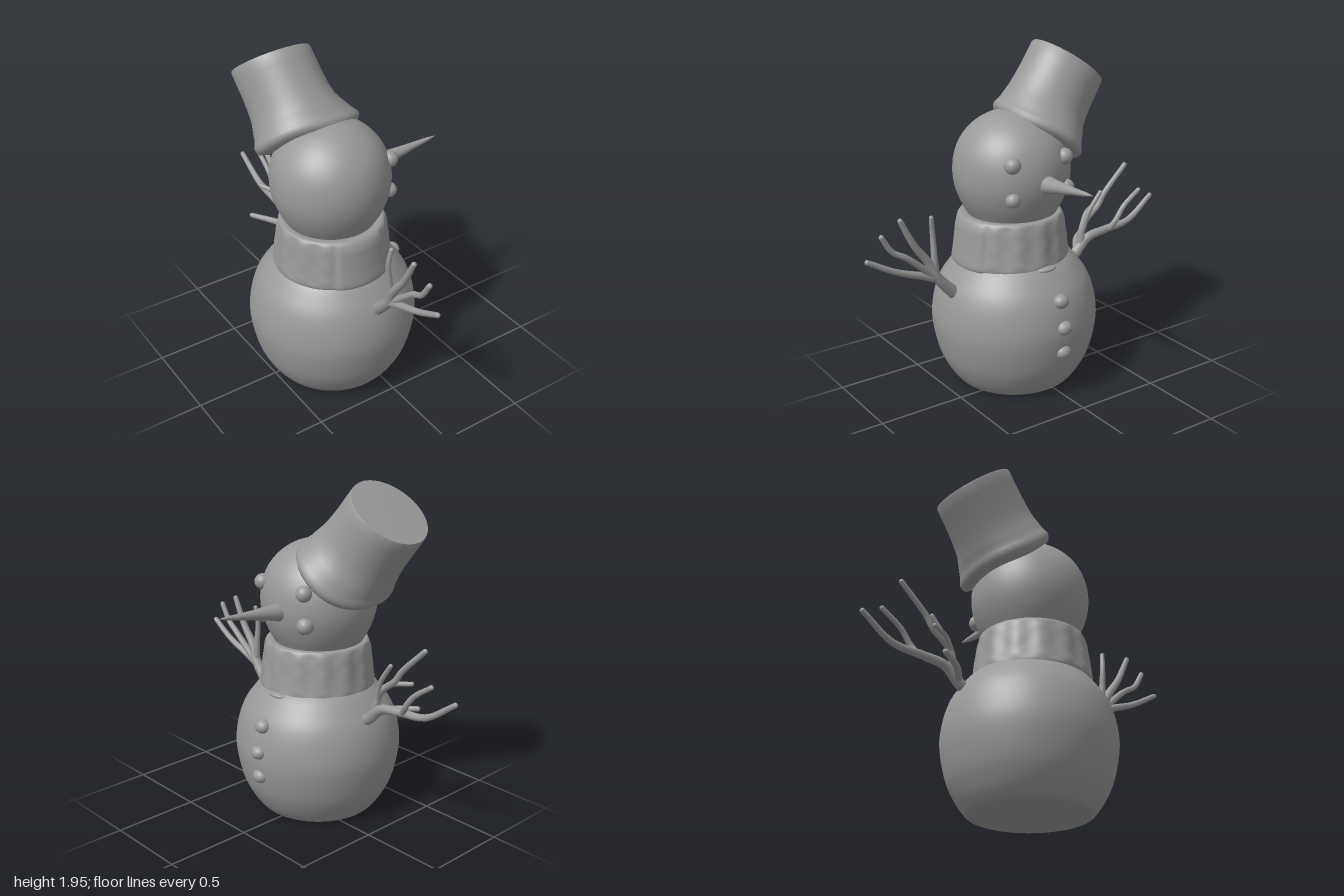
import * as THREE from 'three';
import { toCreasedNormals } from 'three/addons/utils/BufferGeometryUtils.js';

const mat = new THREE.MeshStandardMaterial({ color: 0x999999 });
const V = (x, y, z) => new THREE.Vector3(x, y, z);

function add(parent, name, geo, x = 0, y = 0, z = 0) {
  const mesh = new THREE.Mesh(geo, mat);
  mesh.name = name;
  mesh.position.set(x, y, z);
  parent.add(mesh);
  return mesh;
}

// Profile of [radius, height] pairs smoothed and turned round the y axis
function turned(points, steps = 40, segments = 72) {
  const curve = new THREE.SplineCurve(points.map(p => new THREE.Vector2(...p)));
  const pts = curve.getPoints(steps).map(p => p.set(Math.max(p.x, 0), p.y));
  return new THREE.LatheGeometry(pts, segments);
}

// Moves every vertex by a rule
function bend(geo, rule) {
  const p = geo.attributes.position, v = V(0, 0, 0);
  for (let i = 0; i < p.count; i++) {
    rule(v.fromBufferAttribute(p, i));
    p.setXYZ(i, v.x, v.y, v.z);
  }
  geo.computeVertexNormals();
  return geo;
}

// Tapered twig with a round tip, through points [x, y, z]
function twig(parent, points, r0, r1) {
  const curve = new THREE.CatmullRomCurve3(points.map(p => V(...p)));
  const n = 24, sides = 10;
  const geo = new THREE.TubeGeometry(curve, n, r0, sides);
  const p = geo.attributes.position, v = V(0, 0, 0);
  for (let i = 0; i <= n; i++) {
    const c = curve.getPointAt(i / n), s = 1 + (r1 / r0 - 1) * Math.sqrt(i / n);
    for (let j = 0; j <= sides; j++) {
      const k = i * (sides + 1) + j;
      v.fromBufferAttribute(p, k).sub(c).multiplyScalar(s).add(c);
      p.setXYZ(k, v.x, v.y, v.z);
    }
  }
  add(parent, 'twig', geo);
  add(parent, 'twigTip', new THREE.SphereGeometry(r1, 10, 8), ...points[points.length - 1]);
}

export function createModel() {
  const group = new THREE.Group();

  // Body: round, with a flat base
  add(group, 'body', turned([[0.33, 0.005], [0.35, 0.02], [0.4, 0.09], [0.45, 0.2], [0.483, 0.37], [0.473, 0.5],
    [0.44, 0.61], [0.39, 0.69], [0.33, 0.76], [0.22, 0.84]]), -0.12, 0, 0.045);
  const base = add(group, 'base', new THREE.CircleGeometry(0.33, 72), -0.12, 0.005, 0.045);
  base.rotation.x = Math.PI / 2;

  // Head: a ball with a slightly full jaw
  add(group, 'head', turned([[0.22, 0.96], [0.256, 1.02], [0.298, 1.1], [0.327, 1.19], [0.334, 1.28],
    [0.32, 1.37], [0.285, 1.45], [0.226, 1.52], [0.15, 1.572], [0.07, 1.598], [0, 1.604]], 48), -0.13, 0, 0.05);

  // Scarf: tapered band with shallow ribs and a raised panel on the left side
  const scarf = turned([[0.28, 0.755], [0.315, 0.742], [0.334, 0.76], [0.324, 0.84], [0.314, 0.92],
    [0.306, 0.98], [0.292, 1.02], [0.26, 1.024], [0.21, 1.01]], 48, 160);
  bend(scarf, v => {
    const a = Math.atan2(v.z, v.x), r = Math.hypot(v.x, v.z);
    const band = THREE.MathUtils.smoothstep(r, 0.29, 0.31);
    const rows = THREE.MathUtils.smoothstep(v.y, 0.76, 0.8);
    const panel = 1 - THREE.MathUtils.smoothstep(Math.abs(a - Math.PI / 2), 0.44, 0.54);
    const rib = 0.006 * rows * Math.cos(a * 14) * (0.8 + 0.2 * Math.cos(v.y * 50));
    const s = 1 + band * (rib * (1 - panel) + 0.01 * panel) / r;
    v.x *= s;
    v.z *= s;
  });
  add(group, 'scarf', scarf, -0.13, 0, 0.06);
  // Loose corner at the front of the scarf
  const corner = add(group, 'scarfCorner', new THREE.SphereGeometry(0.05, 20, 14), 0.19, 0.757, 0.04);
  corner.scale.set(0.9, 0.35, 1.3);

  // Hat: leaning back, with a turned brim and flat crown
  const hat = new THREE.LatheGeometry([[0, 0], [0.22, -0.03], [0.262, -0.018], [0.275, 0.005], [0.276, 0.025],
    [0.268, 0.045], [0.262, 0.065], [0.26, 0.09], [0.255, 0.12], [0.249, 0.16], [0.244, 0.22],
    [0.24, 0.3], [0.239, 0.38], [0.238, 0.44], [0.234, 0.45], [0, 0.455]]
    .map(p => new THREE.Vector2(...p)), 72);
  bend(hat, v => {
    const t = THREE.MathUtils.smoothstep(v.y, 0, 0.2);
    const a = Math.atan2(v.z, v.x);
    v.x = v.x * (1.12 - 0.18 * t) - 0.02 * t - 0.1 * Math.max(v.y, 0);
    v.y += 0.01 * (1 - t) * Math.sin(a * 3 + 1);
  });
  const hatMesh = add(group, 'hat', toCreasedNormals(hat, 0.9), -0.15, 1.45, -0.135);
  hatMesh.rotation.x = -0.635;

  // Carrot nose
  const nose = add(group, 'nose', turned([[0.062, -0.03], [0.048, 0.04], [0.035, 0.13], [0.021, 0.26],
    [0.011, 0.37], [0, 0.43]], 30, 24), 0.175, 1.242, 0.035);
  nose.quaternion.setFromUnitVectors(V(0, 1, 0), V(0.427, 0.048, 0.008).normalize());

  // Eyes and smile ends, set on the head surface at [y, z, radius]
  const face = [[1.37, 0.225, 0.046], [1.37, -0.12, 0.046], [1.175, 0.225, 0.042], [1.19, -0.13, 0.048]];
  face.forEach(([y, z, r], i) => {
    const dy = y - 1.27, dz = z - 0.05;
    const x = -0.125 + Math.sqrt(0.333 ** 2 - dy * dy - dz * dz);
    add(group, i < 2 ? 'eye' : 'smileEnd', new THREE.SphereGeometry(r, 20, 14), x, y, z);
  });

  // Buttons down the chest
  for (const [x, y] of [[0.32, 0.6], [0.353, 0.45], [0.342, 0.3]]) {
    const b = add(group, 'button', new THREE.SphereGeometry(0.046, 20, 14), x, y, 0.03);
    b.scale.set(0.95, 0.9, 1.05);
  }

  // Left branch arm
  const left = new THREE.Group();
  left.name = 'leftArm';
  group.add(left);
  twig(left, [[-0.1, 0.57, 0.42], [-0.1, 0.63, 0.48], [-0.1, 0.73, 0.57], [-0.11, 0.83, 0.62],
    [-0.11, 0.94, 0.7], [-0.11, 1.1, 0.78]], 0.05, 0.015);
  twig(left, [[-0.1, 0.72, 0.56], [-0.1, 0.76, 0.66], [-0.1, 0.82, 0.82], [-0.11, 0.91, 0.985]], 0.028, 0.015);
  twig(left, [[-0.1, 0.74, 0.59], [-0.09, 0.89, 0.76], [-0.1, 0.94, 0.84], [-0.1, 1.035, 0.9]], 0.025, 0.015);
  twig(left, [[-0.1, 0.74, 0.58], [-0.11, 0.87, 0.58], [-0.12, 0.98, 0.58], [-0.11, 1.08, 0.59]], 0.027, 0.013);

  // Right branch arm
  const right = new THREE.Group();
  right.name = 'rightArm';
  group.add(right);
  twig(right, [[-0.1, 0.61, -0.28], [-0.1, 0.65, -0.38], [-0.1, 0.74, -0.48], [-0.1, 0.765, -0.62],
    [-0.1, 0.79, -0.8], [-0.11, 0.915, -0.985]], 0.045, 0.015);
  twig(right, [[-0.09, 0.77, -0.65], [-0.07, 0.82, -0.68], [-0.07, 0.9, -0.74], [-0.07, 0.985, -0.855]], 0.02, 0.014);
  twig(right, [[-0.1, 0.7, -0.43], [-0.11, 0.83, -0.46], [-0.11, 0.93, -0.57], [-0.11, 0.99, -0.61],
    [-0.11, 1.15, -0.77]], 0.026, 0.015);
  twig(right, [[-0.1, 0.8, -0.45], [-0.09, 0.9, -0.48], [-0.08, 1.02, -0.56]], 0.018, 0.013);
  twig(right, [[-0.11, 0.82, -0.45], [-0.15, 0.88, -0.51], [-0.2, 0.9, -0.61]], 0.018, 0.013);
  twig(right, [[-0.1, 0.67, -0.4], [-0.18, 0.71, -0.46], [-0.28, 0.725, -0.59]], 0.028, 0.015);

  return group;
}
